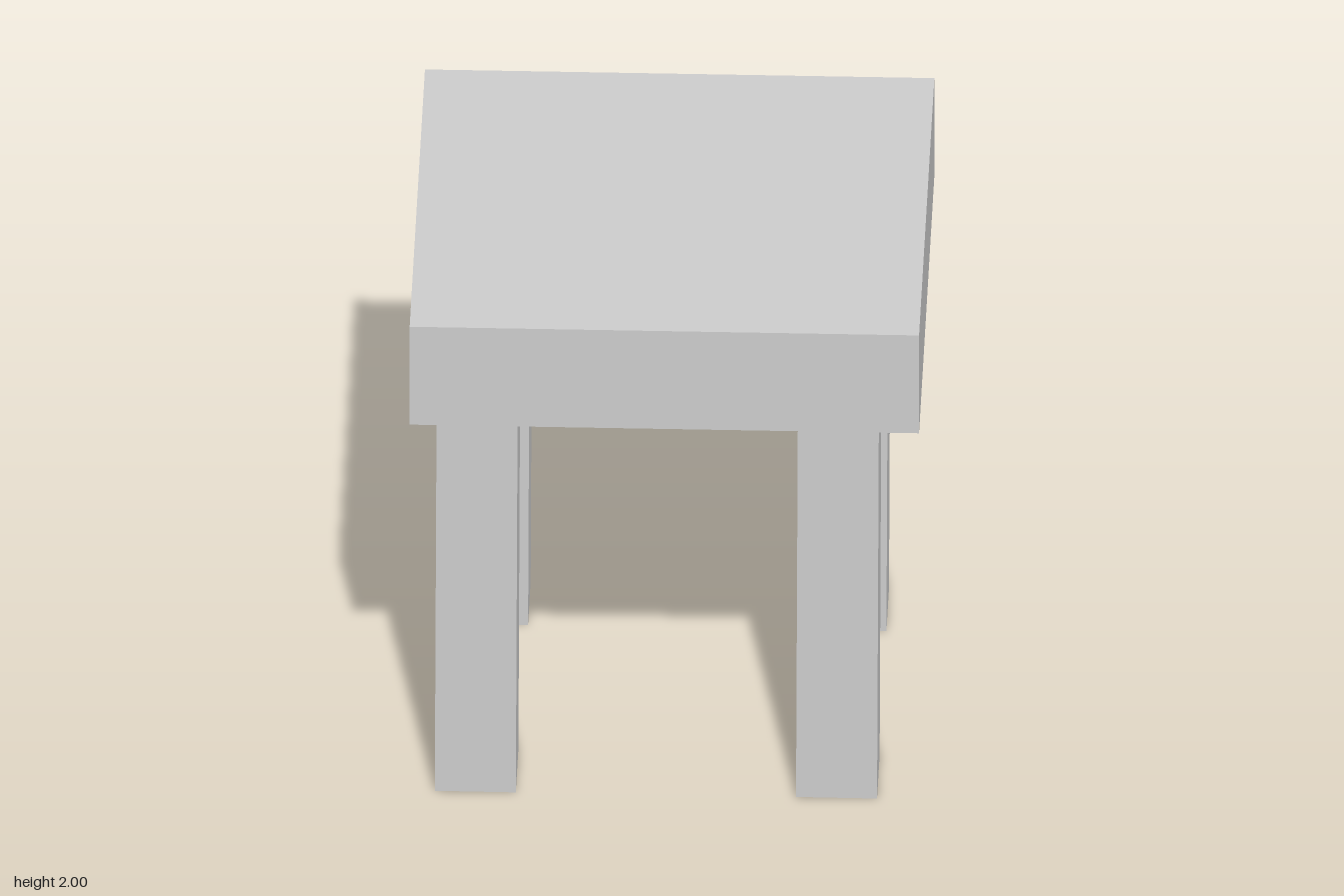
import * as THREE from 'three';

export function createModel() {
  const model = new THREE.Group();
  const material = new THREE.MeshStandardMaterial({ color: 0xcccccc, flatShading: true });

  function addBox(name, size, position) {
    const mesh = new THREE.Mesh(new THREE.BoxGeometry(...size), material);
    mesh.name = name;
    mesh.position.set(...position);
    model.add(mesh);
    return mesh;
  }

  // Thick seat slab
  addBox('seat', [1.76, 0.4, 1.66], [0, 1.8, 0]);

  // Four square legs, set slightly off centre and leaning a touch toward +x
  const legs = [
    ['frontLeftLeg', 0.593, 0.53],
    ['frontRightLeg', -0.655, 0.53],
    ['backLeftLeg', 0.591, -0.55],
    ['backRightLeg', -0.647, -0.55],
  ];
  for (const [name, x, z] of legs) {
    addBox(name, [0.28, 1.595, 0.28], [x, 0.8, z]).rotation.z = -0.004;
  }

  return model;
}
